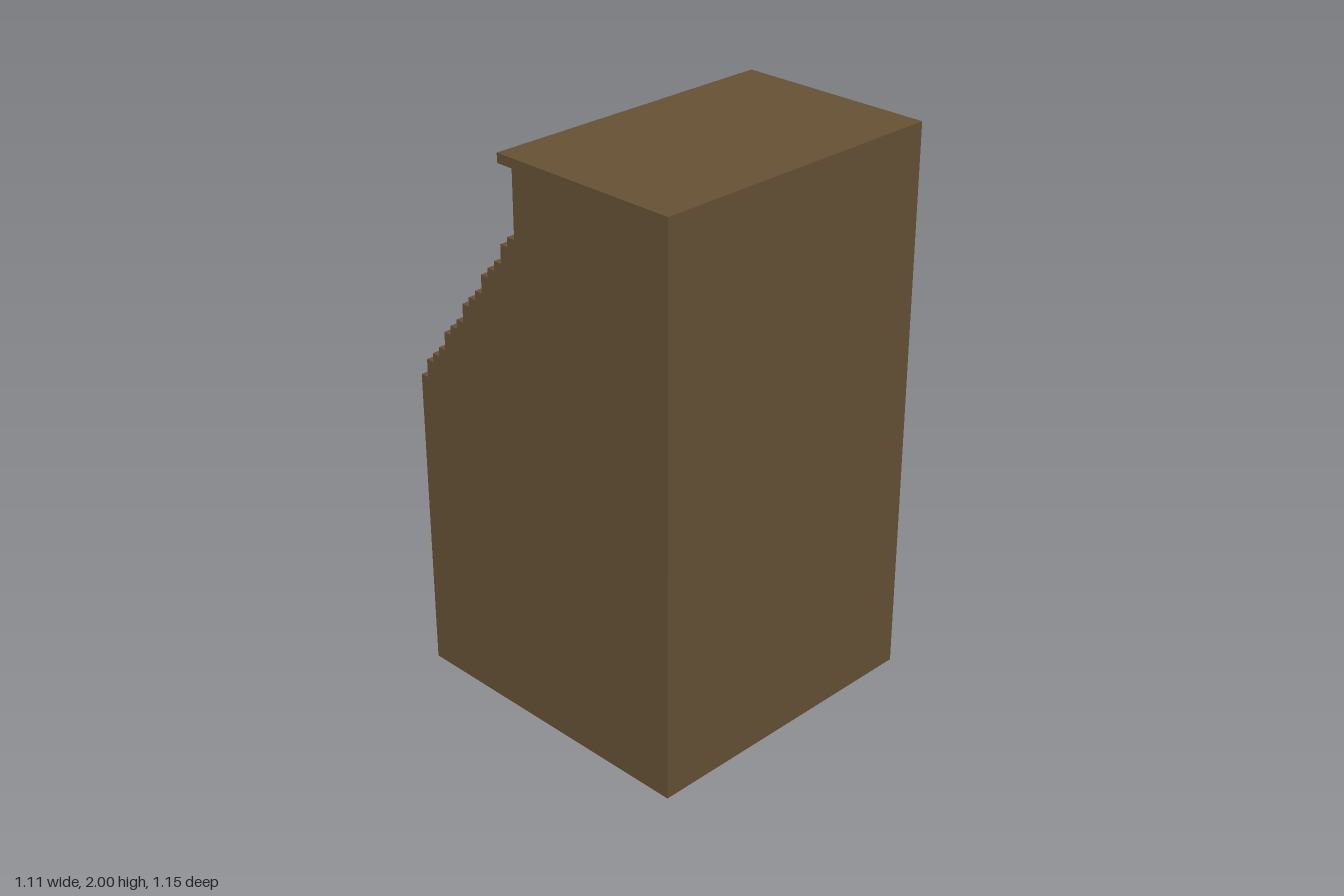
import * as THREE from 'three';

const V = 2 / 61; // one block of the build grid

const paint = (name, color) => {
  const m = new THREE.MeshStandardMaterial({ color });
  m.name = name;
  return m;
};

export function createModel() {
  const wood = paint('wood', 0x665235);
  const grey = paint('panelGrey', 0x484c4d);
  const dark = paint('darkTeal', 0x0e2425);
  const green = paint('green', 0x3e8869);
  const pale = paint('paleGrey', 0x98a5a7);
  const tan = paint('tan', 0x86674a);
  const slotDark = paint('slotDark', 0x25292b);

  const root = new THREE.Group();
  root.name = 'arcadeCabinet';
  const body = new THREE.Group();
  body.name = 'cabinet';
  body.scale.setScalar(V); // everything below is measured in blocks
  root.add(body);

  const add = (name, geo, mat, x = 0, y = 0, z = 0, parent = body) => {
    const m = new THREE.Mesh(geo, mat);
    m.name = name;
    m.position.set(x, y, z);
    parent.add(m);
    return m;
  };
  const box = (name, mat, x0, x1, y0, y1, z0, z1, parent) =>
    add(name, new THREE.BoxGeometry(x1 - x0, y1 - y0, z1 - z0), mat,
      (x0 + x1) / 2, (y0 + y1) / 2, (z0 + z1) / 2, parent);

  // Side panels: stair-stepped profile, drawn with -z to the right
  const side = new THREE.Shape();
  side.moveTo(-17.5, 0);
  side.lineTo(17.5, 0);
  const heights = [34, 36, 37, 38, 40, 41, 42, 44, 45, 46, 48, 49, 50, 52, 53];
  heights.forEach((h, i) => {
    side.lineTo(17.5 - i, h);
    side.lineTo(16.5 - i, h);
  });
  side.lineTo(2.5, 60);
  side.lineTo(-17.5, 60);
  const sideGeo = new THREE.ExtrudeGeometry(side, { depth: 1, bevelEnabled: false });
  sideGeo.rotateY(Math.PI / 2);
  add('leftSide', sideGeo, wood, 16);
  add('rightSide', sideGeo, wood, -17);

  // Shell
  box('roof', wood, -17, 17, 60, 61, -4.5, 17.5);
  box('rearWall', wood, -16, 16, 0, 60, 16.5, 17.5);
  box('lowerFront', wood, -16, 16, 0, 31, -17.5, -16.5);
  box('floor', grey, -16, 16, 0.1, 1, -16.5, 16.5);

  // Steps and frame around the screen
  box('stepLow', wood, -16, 16, 31, 34, -6.5, -4.5);
  box('stepMiddle', wood, -16, 16, 31, 35, -4.5, -2.5);
  box('stepHigh', wood, -16, 16, 31, 36, -2.5, 0.5);
  box('headerHigh', wood, -16, 16, 59, 60, -2.5, 0.5);
  box('headerLow', wood, -16, 16, 57, 59, -1.5, 0.5);
  for (const s of [-1, 1]) {
    add('screenFrame', new THREE.BoxGeometry(1, 21, 2), wood, s * 15.5, 46.5, -0.5);
  }

  // Control panel with a notched well for the stick
  box('controlBase', grey, -16, 16, 31, 32, -17.5, -6.5);
  const top = new THREE.Shape();
  [[-16, -17.5], [16, -17.5], [16, -6.5], [-16, -6.5]].forEach(([x, z], i) =>
    i ? top.lineTo(x, z) : top.moveTo(x, z));
  const well = new THREE.Path();
  const notch = [[-2.5, -1.5], [-1.5, -1.5], [-1.5, -2.5], [1.5, -2.5], [1.5, -1.5], [2.5, -1.5],
    [2.5, 1.5], [1.5, 1.5], [1.5, 2.5], [-1.5, 2.5], [-1.5, 1.5], [-2.5, 1.5]];
  notch.forEach(([x, z], i) => (i ? well.lineTo(x - 3.5, z - 12) : well.moveTo(x - 3.5, z - 12)));
  top.holes.push(well);
  const topGeo = new THREE.ExtrudeGeometry(top, { depth: 1, bevelEnabled: false });
  topGeo.rotateX(Math.PI / 2);
  add('controlTop', topGeo, grey, 0, 33, 0);

  // Joystick
  box('joystickStem', grey, -4, -3, 32, 35, -12.5, -11.5);
  for (const size of [[3, 1, 1], [1, 3, 1], [1, 1, 3]]) {
    add('joystickKnob', new THREE.BoxGeometry(...size), dark, -3.5, 36.5, -12);
  }

  // Four buttons in a diamond
  for (const [x, z] of [[4, -14.5], [4, -10.5], [2, -12.5], [6, -12.5]]) {
    add('button', new THREE.BoxGeometry(2, 1, 2), green, x, 33.5, z);
  }

  // Coin plate with two slots
  const plate = new THREE.Shape();
  plate.moveTo(-3, 5);
  plate.lineTo(3, 5);
  plate.lineTo(3, -4.2);
  plate.quadraticCurveTo(2.9, -4.9, 2, -5);
  plate.lineTo(-2, -5);
  plate.quadraticCurveTo(-2.9, -4.9, -3, -4.2);
  const plateGeo = new THREE.ExtrudeGeometry(plate, { depth: 0.1, bevelEnabled: false });
  add('coinPlate', plateGeo, grey, -11.1, 23.7, -17.6);
  for (const x of [-9.6, -12.6]) {
    box('coinSlot', slotDark, x - 0.65, x + 0.65, 23.7, 27.1, -17.65, -17.55);
    box('coinSlotBar', grey, x - 0.3, x + 0.3, 24.1, 26.7, -17.7, -17.6);
  }

  // Screen; u runs from the player's left, y is height
  const screen = new THREE.Group();
  screen.name = 'screen';
  body.add(screen);
  box('screenGlass', dark, -15, 15, 36, 57, -0.5, 0.5, screen);
  const walls = [];
  const maze = (...pts) => {
    for (let i = 1; i < pts.length; i++) {
      const [a, b] = [pts[i - 1], pts[i]];
      const r = 0.6;
      const w = [Math.max(0, Math.min(a[0], b[0]) - r), Math.min(30, Math.max(a[0], b[0]) + r),
        Math.min(a[1], b[1]) - r, Math.max(a[1], b[1]) + r];
      walls.push(w);
      box('mazeWall', pale, 15 - w[1], 15 - w[0], w[2], w[3], -0.6, -0.5, screen);
    }
  };
  maze([0, 48], [1.6, 48], [1.6, 56], [28.4, 56], [28.4, 48], [30, 48]);
  maze([0, 42], [2.2, 42], [2.2, 37.6], [28.4, 37.6], [28.4, 42], [30, 42]);
  maze([9.4, 43], [9.4, 52.6], [13.4, 52.6], [13.4, 46.5]);
  maze([13.4, 43.6], [13.4, 40.6]);
  maze([5.4, 42], [5.4, 40.6]);
  maze([25, 52.8], [17.2, 52.8], [17.2, 49.6], [19, 49.6]);
  maze([25, 52.8], [25, 47]);
  maze([17.2, 40.8], [17.2, 46.6], [21, 46.6]);
  maze([21, 41], [25, 41], [25, 44]);

  // Pellets wherever the corridors are clear
  for (let u = 3.7; u < 28; u += 3.75) {
    for (let y = 39.4; y < 55; y += 2.56) {
      const blocked = walls.some((w) => u > w[0] - 0.4 && u < w[1] + 0.4 && y > w[2] - 0.4 && y < w[3] + 0.4);
      if (blocked || Math.hypot(u - 21.5, y - 50) < 2.2 || Math.hypot(u - 4.8, y - 39.4) < 1.3) continue;
      const dot = add('pellet', new THREE.BoxGeometry(0.7, 0.7, 0.1), green, 15 - u, y, -0.55, screen);
      dot.rotation.z = Math.PI / 4;
    }
  }

  // Figures in the maze
  const disc = new THREE.CylinderGeometry(1.4, 1.4, 0.15, 10);
  disc.rotateX(Math.PI / 2);
  add('roundFigure', disc, tan, 15 - 21.5, 50, -0.58, screen);
  box('greyFigure', grey, 9.5, 11, 38.6, 40.8, -0.65, -0.5, screen);

  return root;
}
